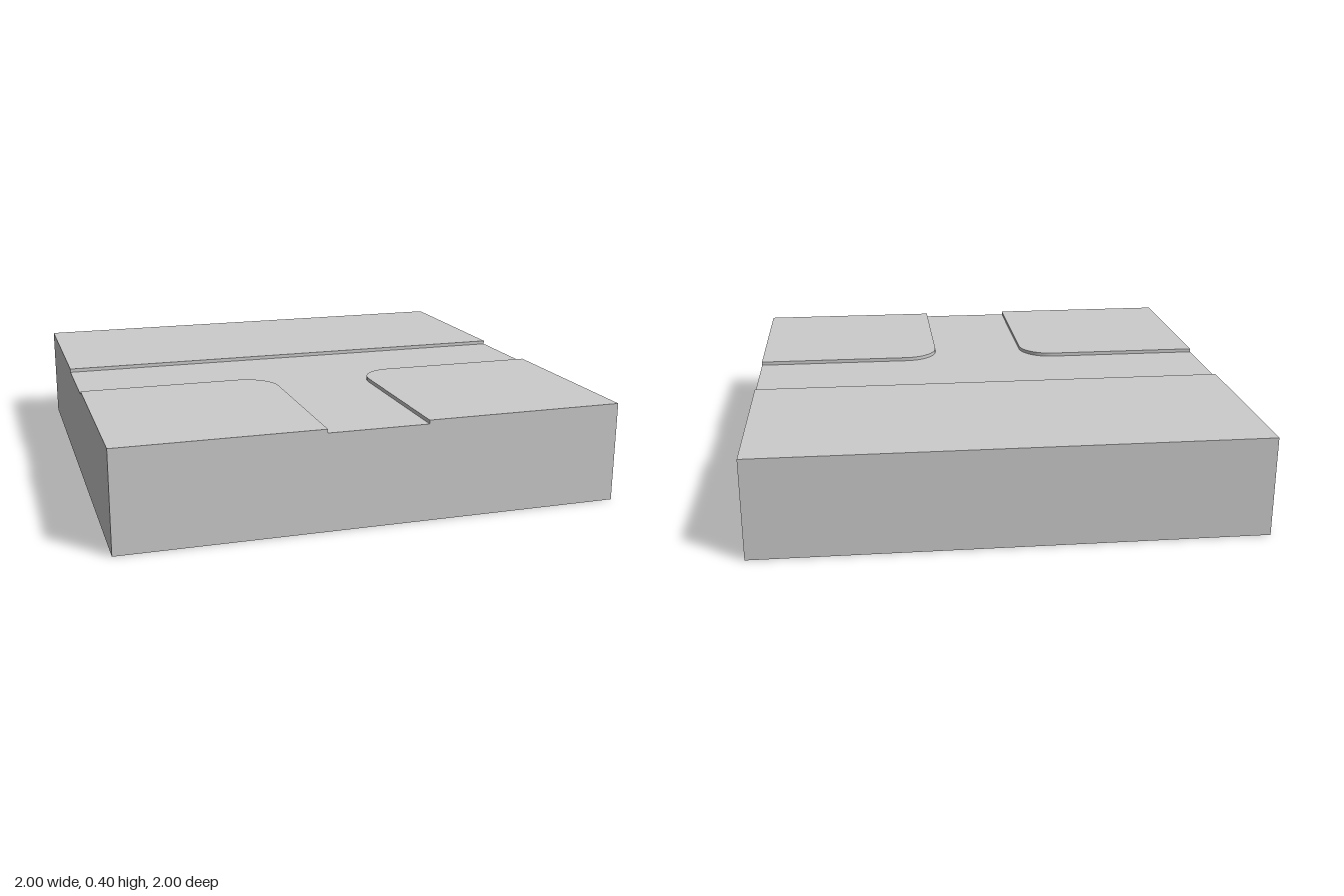
import * as THREE from 'three';

const TOP = 0.4, ROAD = 0.385, HALF = 0.2, RADIUS = 0.14;

export function createModel() {
  const group = new THREE.Group();
  const material = new THREE.MeshStandardMaterial({ color: 0xcccccc, side: THREE.DoubleSide });
  const v = (x, y) => new THREE.Vector2(x, y);

  const add = (name, geometry) => {
    const mesh = new THREE.Mesh(geometry, material);
    mesh.name = name;
    group.add(mesh);
    return mesh;
  };

  // Horizontal sheet from a plan outline of (x, -z) points
  const sheet = (name, points, y) =>
    add(name, new THREE.ShapeGeometry(new THREE.Shape(points)).rotateX(-Math.PI / 2).translate(0, y, 0));

  // Upright strip between road and pavement height along a plan path
  const curb = (name, path) => {
    const positions = [], index = [];
    path.forEach((p, i) => {
      positions.push(p.x, ROAD, -p.y, p.x, TOP, -p.y);
      const a = 2 * i;
      if (i) index.push(a - 2, a, a + 1, a - 2, a + 1, a - 1);
    });
    const geometry = new THREE.BufferGeometry();
    geometry.setAttribute('position', new THREE.Float32BufferAttribute(positions, 3));
    geometry.setIndex(index);
    geometry.computeVertexNormals();
    add(name, geometry);
  };

  // Plan edges of the raised areas, with rounded corners at the junction
  const leftEdge = [v(1, -HALF)];
  for (let i = 0; i <= 10; i++) {
    const a = Math.PI / 2 * (1 + i / 10);
    const c = HALF + RADIUS;
    leftEdge.push(v(c + RADIUS * Math.cos(a), -c + RADIUS * Math.sin(a)));
  }
  leftEdge.push(v(HALF, -1));
  const rightEdge = leftEdge.map(p => v(-p.x, p.y)).reverse();
  const backEdge = [v(-1, HALF), v(1, HALF)];

  // Raised pavements and their curbs
  sheet('leftPavement', [...leftEdge, v(1, -1)], TOP);
  sheet('rightPavement', [...rightEdge, v(-1, -1)], TOP);
  sheet('backPavement', [...backEdge, v(1, 1), v(-1, 1)], TOP);
  curb('leftCurb', leftEdge);
  curb('rightCurb', rightEdge);
  curb('backCurb', backEdge);

  // Sunken T-junction road
  sheet('road', [...backEdge, ...leftEdge, ...rightEdge].reverse(), ROAD);

  // Outer walls, notched where the road leaves; the underside stays open
  const notch = [v(HALF, TOP), v(HALF, ROAD), v(-HALF, ROAD), v(-HALF, TOP)];
  ['frontWall', 'leftWall', 'backWall', 'rightWall'].forEach((name, i) => {
    const outline = [v(-1, 0), v(1, 0), v(1, TOP), ...(name === 'backWall' ? [] : notch), v(-1, TOP)];
    add(name, new THREE.ShapeGeometry(new THREE.Shape(outline)).translate(0, 0, 1).rotateY(i * Math.PI / 2));
  });

  return group;
}
